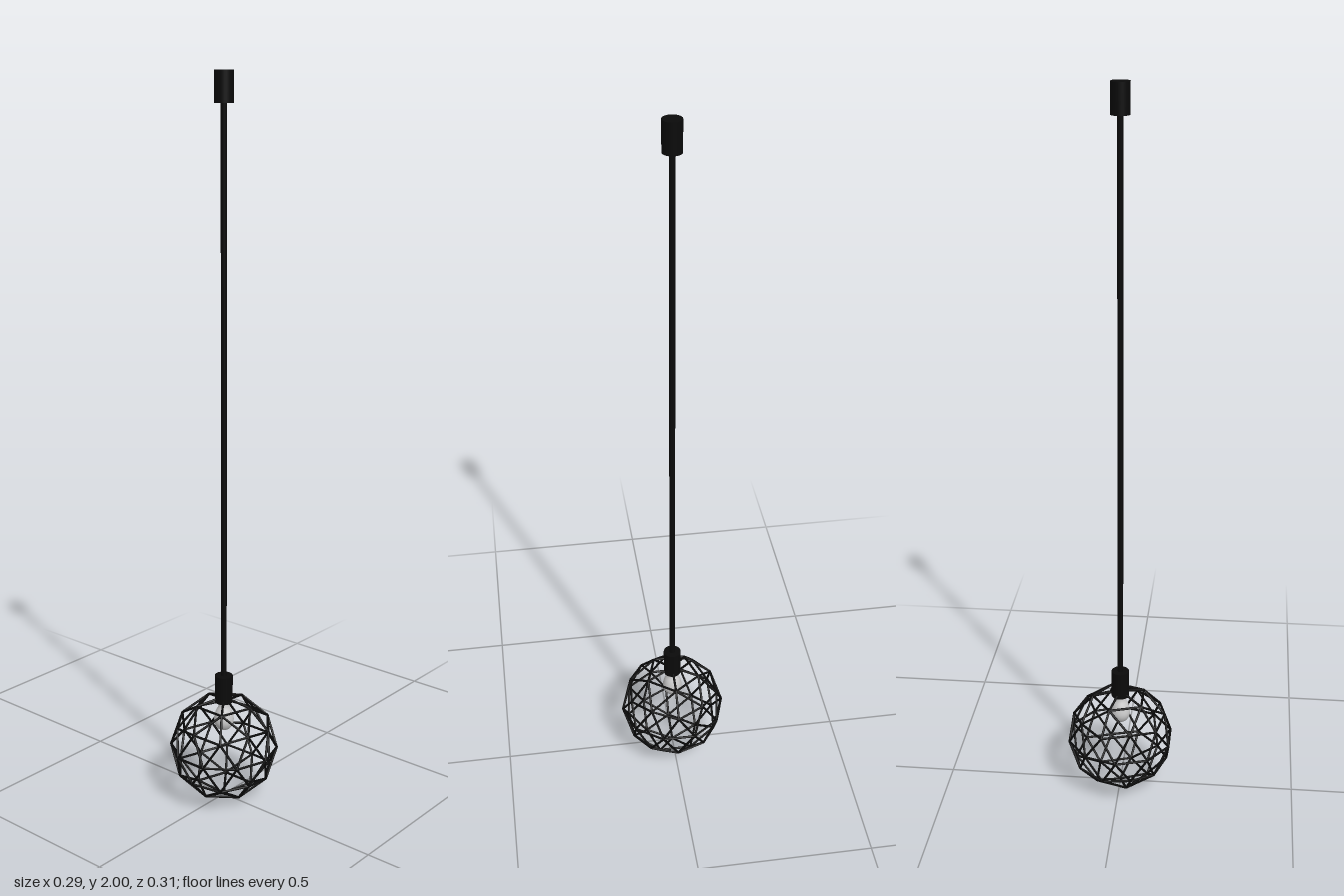
import * as THREE from 'three';

const black = new THREE.MeshStandardMaterial({ color: 0x0a0a0a });
const white = new THREE.MeshStandardMaterial({ color: 0xffffff });

const R = 0.15;       // cage radius
const CENTRE = 0.155; // cage centre height
const WIRE = 0.0033;  // strut radius

function rod(name, radius, y0, y1, sides = 32) {
  const mesh = new THREE.Mesh(new THREE.CylinderGeometry(radius, radius, y1 - y0, sides), black);
  mesh.position.y = (y0 + y1) / 2;
  mesh.name = name;
  return mesh;
}

// Icosahedron corners with a pole on the y axis
function icosaCorners() {
  const pts = [new THREE.Vector3(0, 1, 0), new THREE.Vector3(0, -1, 0)];
  const y = 1 / Math.sqrt(5), r = 2 / Math.sqrt(5);
  for (let i = 0; i < 10; i++) {
    const a = i * Math.PI / 5;
    pts.push(new THREE.Vector3(r * Math.cos(a), i % 2 ? -y : y, r * Math.sin(a)));
  }
  return pts;
}

// Geodesic sphere points: corners plus edge midpoints pushed to the sphere
function geodesicPoints() {
  const corners = icosaCorners();
  const pts = [...corners];
  corners.forEach((a, i) => corners.slice(i + 1).forEach((b) => {
    if (a.distanceTo(b) < 1.1) pts.push(a.clone().add(b).normalize());
  }));
  return pts.map((p) => p.multiplyScalar(R));
}

function createCage() {
  const cage = new THREE.Group();
  cage.name = 'geodesicCage';
  const pts = geodesicPoints();
  const up = new THREE.Vector3(0, 1, 0);
  const jointGeo = new THREE.SphereGeometry(WIRE, 8, 6);
  pts.forEach((a, i) => {
    const joint = new THREE.Mesh(jointGeo, black);
    joint.position.copy(a);
    joint.name = 'cageJoint';
    cage.add(joint);
    // Neighbouring points are joined by a strut
    pts.slice(i + 1).forEach((b) => {
      const d = b.clone().sub(a), len = d.length();
      if (len > R * 0.7) return;
      const strut = new THREE.Mesh(new THREE.CylinderGeometry(WIRE, WIRE, len, 8), black);
      strut.position.copy(a).add(b).multiplyScalar(0.5);
      strut.quaternion.setFromUnitVectors(up, d.normalize());
      strut.name = 'cageStrut';
      cage.add(strut);
    });
  });
  cage.position.y = CENTRE;
  return cage;
}

// Small bulb below the socket
function createBulb() {
  const profile = new THREE.SplineCurve([
    [0, 0.205], [0.018, 0.211], [0.028, 0.232], [0.024, 0.258], [0.015, 0.277], [0.013, 0.295],
  ].map(([x, y]) => new THREE.Vector2(x, y))).getPoints(20);
  profile.forEach((p) => { p.x = Math.max(p.x, 0); });
  const bulb = new THREE.Mesh(new THREE.LatheGeometry(profile, 24), white);
  bulb.name = 'bulb';
  return bulb;
}

export function createModel() {
  const model = new THREE.Group();
  model.name = 'pendantLamp';
  model.add(
    rod('ceilingCap', 0.025, 1.92, 2),
    rod('cord', 0.008, 0.36, 1.93, 16),
    rod('socket', 0.025, 0.29, 0.37),
    createBulb(),
    createCage(),
  );
  return model;
}
